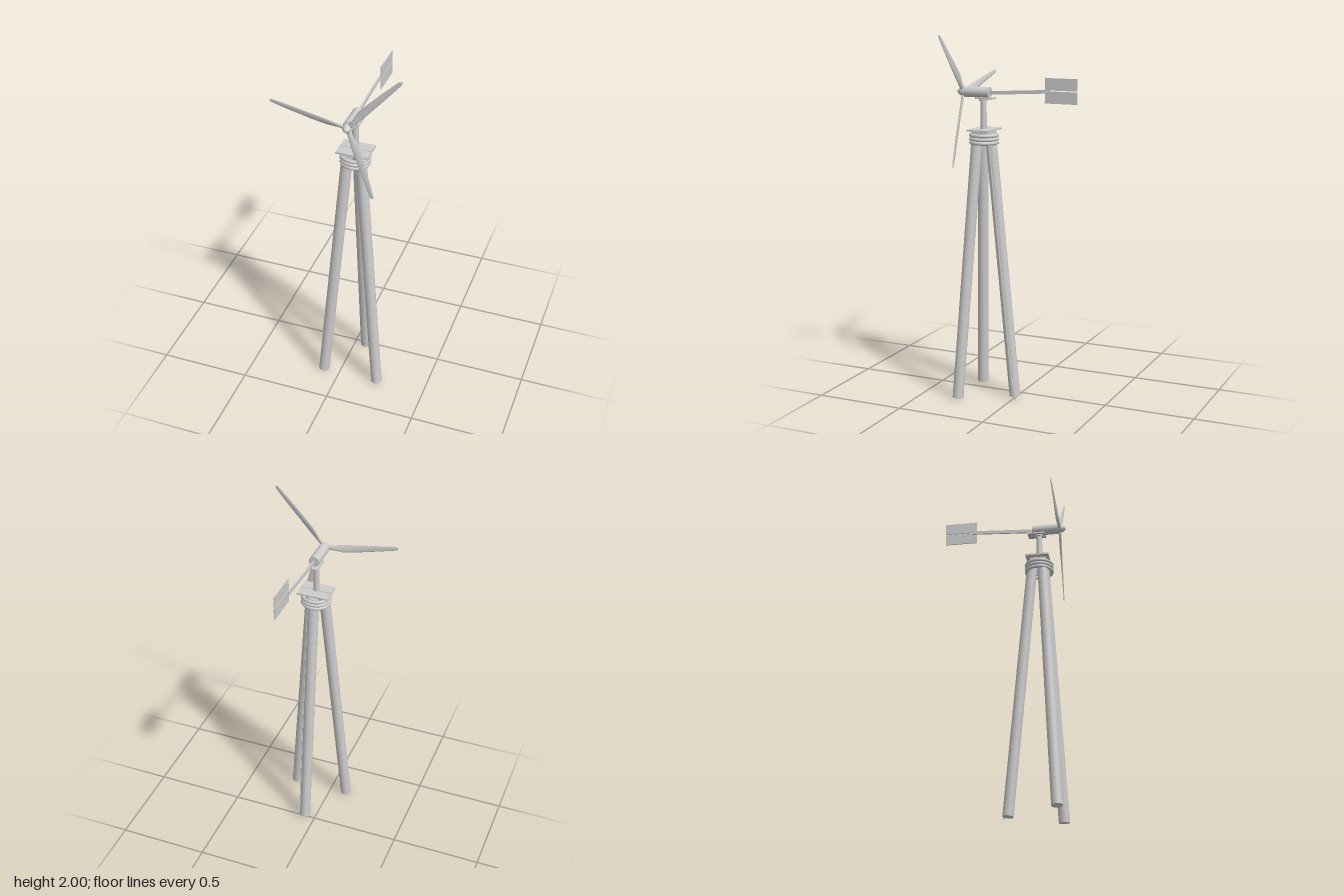
import * as THREE from 'three';

export function createModel() {
  const model = new THREE.Group();
  model.name = 'windTurbine';
  const metal = new THREE.MeshStandardMaterial({ color: 0xcccccc });
  metal.name = 'light grey metal';

  const CX = 0.064, CZ = 0.195; // tower axis
  const HUB_Y = 1.685;          // rotor axis height

  function add(name, geometry, x = 0, y = 0, z = 0, parent = model) {
    const mesh = new THREE.Mesh(geometry, metal);
    mesh.name = name;
    mesh.position.set(x, y, z);
    parent.add(mesh);
    return mesh;
  }
  const box = (name, w, h, d, x, y, z) => add(name, new THREE.BoxGeometry(w, h, d), x, y, z);

  // Cylinder stretched between two points
  function strut(name, a, b, r, sides = 16) {
    const dir = b.clone().sub(a);
    const mesh = add(name, new THREE.CylinderGeometry(r, r, dir.length(), sides));
    mesh.position.copy(a).lerp(b, 0.5);
    mesh.quaternion.setFromUnitVectors(new THREE.Vector3(0, 1, 0), dir.normalize());
    return mesh;
  }
  // Cylinder along z, front radius first
  function axial(name, rFront, rBack, zFront, zBack) {
    const g = new THREE.CylinderGeometry(rFront, rBack, zFront - zBack, 24).rotateX(Math.PI / 2);
    return add(name, g, CX, HUB_Y, (zFront + zBack) / 2);
  }

  // Three leaning tower legs
  ['backLeg', 'leftLeg', 'rightLeg'].forEach((name, i) => {
    const a = -Math.PI / 2 - i * Math.PI * 2 / 3;
    const at = (r, y) => new THREE.Vector3(CX + Math.cos(a) * r, y, CZ + Math.sin(a) * r);
    strut(name, at(0.183, 0.004), at(0.041, 1.465), 0.03);
  });

  // Binding rings around the leg tops
  for (const y of [1.416, 1.436, 1.456]) {
    const g = new THREE.TorusGeometry(0.072, 0.0098, 10, 40).rotateX(Math.PI / 2);
    add('bindingRing', g, CX, y, CZ - 0.002);
  }

  // Split top platform on a bearer block
  box('platformBearer', 0.12, 0.014, 0.09, CX, 1.473, CZ);
  for (const z of [0.1575, 0.2245]) box('platformPlate', 0.174, 0.009, 0.063, CX, 1.485, z);

  // Mast and yaw bearing
  strut('mast', new THREE.Vector3(CX, 1.46, CZ), new THREE.Vector3(CX, 1.655, CZ), 0.017);
  add('yawFlange', new THREE.CylinderGeometry(0.024, 0.024, 0.009, 24), CX, 1.644, CZ);
  box('yawPlate', 0.06, 0.008, 0.1, CX, 1.654, 0.182);

  // Generator, hub and nose cone
  axial('generator', 0.029, 0.029, 0.304, 0.157);
  axial('hub', 0.024, 0.024, 0.325, 0.304);
  axial('noseCone', 0.009, 0.024, 0.347, 0.325);

  // Tail boom, rising slightly toward the back
  const boom = box('tailBoom', 0.009, 0.019, 0.36, CX, 1.693, -0.011);
  boom.rotation.x = 0.06;

  // Tail vane in two panels
  for (const y of [1.6745, 1.7435]) box('tailVane', 0.006, 0.064, 0.182, 0.0745, y, -0.259);

  // Twisted blade from cross-sections: radius, trailing, leading, thickness, twist
  function bladeGeometry() {
    const sections = [
      [0.012, 0.013, 0.011, 0.016, 0.5],
      [0.05, 0.015, 0.011, 0.014, 0.45],
      [0.11, 0.027, 0.014, 0.011, 0.32],
      [0.18, 0.025, 0.014, 0.009, 0.22],
      [0.3, 0.018, 0.013, 0.007, 0.12],
      [0.395, 0.011, 0.011, 0.005, 0.06],
      [0.411, 0.008, 0.009, 0.004, 0.05],
      [0.417, 0.003, 0.004, 0.003, 0.05],
    ];
    const n = 12, pos = [], index = [];
    for (const [r, trail, lead, thick, twist] of sections) {
      for (let j = 0; j < n; j++) {
        const t = j / n * Math.PI * 2;
        const x = (lead - trail) / 2 + Math.cos(t) * (lead + trail) / 2;
        const z = Math.sin(t) * thick / 2;
        pos.push(x * Math.cos(twist) - z * Math.sin(twist), r,
          x * Math.sin(twist) + z * Math.cos(twist));
      }
    }
    for (let i = 0; i < sections.length - 1; i++) {
      for (let j = 0; j < n; j++) {
        const a = i * n + j, b = i * n + (j + 1) % n;
        index.push(a, a + n, b, b, a + n, b + n);
      }
    }
    const tip = (sections.length - 1) * n;
    for (let j = 1; j < n - 1; j++) {
      index.push(tip, tip + j + 1, tip + j);
      index.push(0, j, j + 1);
    }
    const g = new THREE.BufferGeometry();
    g.setAttribute('position', new THREE.Float32BufferAttribute(pos, 3));
    g.setIndex(index);
    g.computeVertexNormals();
    return g;
  }
  const rotor = new THREE.Group();
  rotor.name = 'rotor';
  rotor.position.set(CX, HUB_Y, 0.315);
  model.add(rotor);
  const blade = bladeGeometry();
  for (let i = 0; i < 3; i++) {
    const mesh = add('blade', blade, 0, 0, 0, rotor);
    mesh.rotation.z = THREE.MathUtils.degToRad(48.8 - 90 + i * 120);
  }

  // Cable clipped along the back leg, splayed at the foot
  const cable = new THREE.CurvePath();
  const points = [[0.116, 0.003, -0.018], [0.098, 0.125, 0.022], [0.098, 1.41, 0.15]]
    .map((p) => new THREE.Vector3(...p));
  cable.add(new THREE.LineCurve3(points[0], points[1]));
  cable.add(new THREE.LineCurve3(points[1], points[2]));
  add('cable', new THREE.TubeGeometry(cable, 40, 0.004, 8));

  return model;
}
